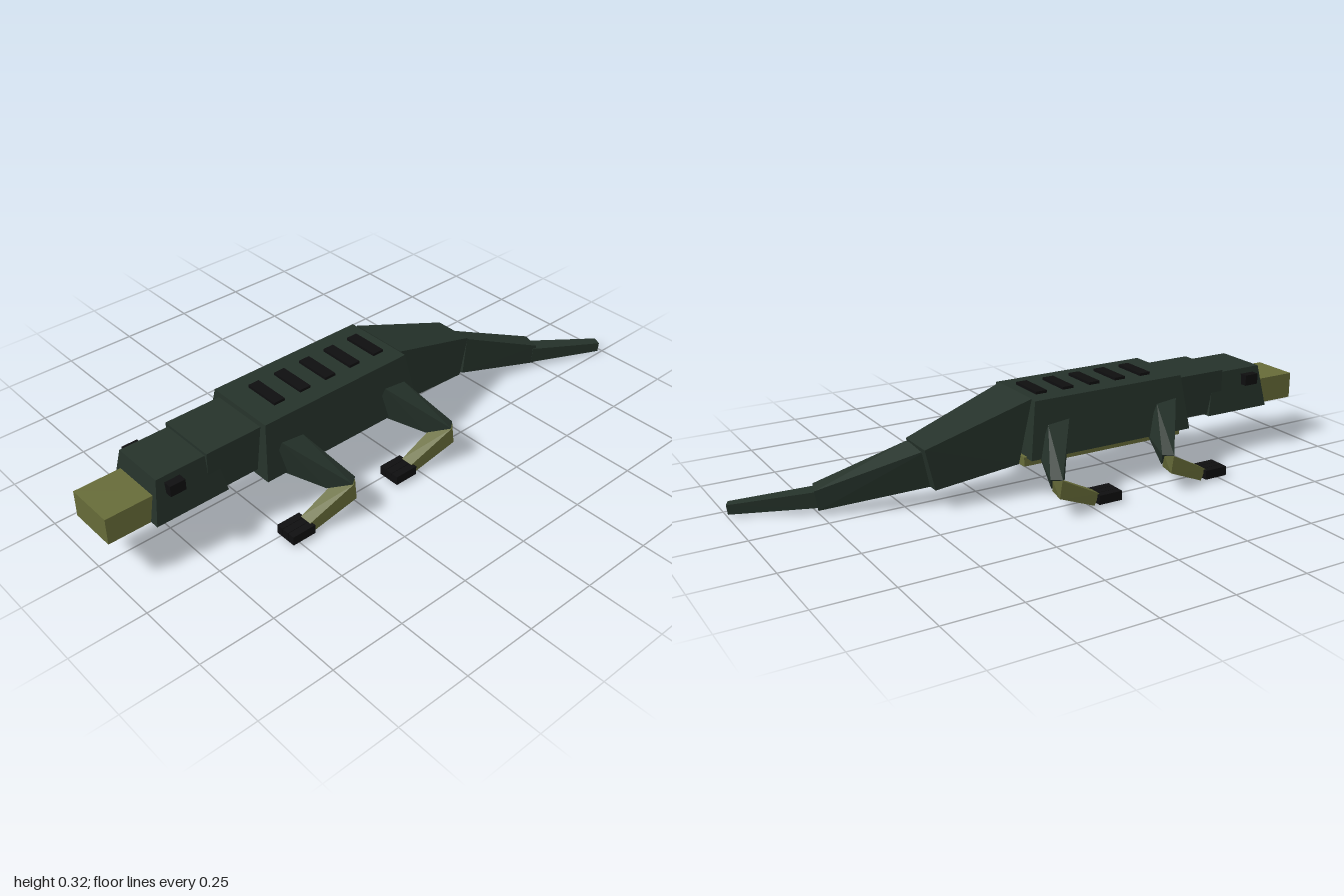
import * as THREE from 'three';
import { ConvexGeometry } from 'three/addons/geometries/ConvexGeometry.js';

const mat = (name, color) => new THREE.MeshStandardMaterial({ name, color });

export function createModel() {
  const model = new THREE.Group();
  model.name = 'crocodile';
  const green = mat('darkGreen', 0x25322a);
  const olive = mat('olive', 0x666b38);
  const black = mat('black', 0x0e0e0f);

  // Faceted block spanning eight corners, [x, y, z] each
  const block = (name, material, corners, parent = model, side = 1) => {
    const pts = corners.map(([x, y, z]) => new THREE.Vector3(x * side, y, z));
    const mesh = new THREE.Mesh(new ConvexGeometry(pts), material);
    mesh.name = name;
    parent.add(mesh);
    return mesh;
  };
  // Box given by its limits
  const box = (name, material, x0, x1, y0, y1, z0, z1, parent = model) => {
    const mesh = new THREE.Mesh(new THREE.BoxGeometry(x1 - x0, y1 - y0, z1 - z0), material);
    mesh.position.set((x0 + x1) / 2, (y0 + y1) / 2, (z0 + z1) / 2);
    mesh.name = name;
    parent.add(mesh);
    return mesh;
  };
  // Horizontal rectangle used as the top or bottom of a tapered block
  const rect = (hw, y, z0, z1) => [[-hw, y, z0], [hw, y, z0], [hw, y, z1], [-hw, y, z1]];

  // Trunk, belly, neck and head
  block('body', green, [...rect(0.155, 0.13, -0.13, 0.49), ...rect(0.125, 0.314, -0.1, 0.467)]);
  box('belly', olive, -0.125, 0.125, 0.104, 0.135, -0.14, 0.47);
  box('neck', green, -0.103, 0.103, 0.148, 0.297, 0.44, 0.665);
  block('head', green, [...rect(0.115, 0.142, 0.605, 0.858), ...rect(0.093, 0.287, 0.635, 0.833)]);
  box('snout', olive, -0.083, 0.083, 0.141, 0.231, 0.8, 1);

  // Ridges along the back
  for (let i = 0; i < 5; i++) {
    const z = -0.04 + i * 0.101;
    box('backRidge', black, -0.064, 0.064, 0.3, 0.323, z - 0.02, z + 0.02);
  }

  // Tail: three tapering segments, bending to the left
  block('tailBase', green, [
    [-0.105, 0.317, -0.1], [0.105, 0.317, -0.1], [-0.1, 0.106, -0.145], [0.1, 0.106, -0.145],
    [-0.068, 0.2, -0.457], [0.068, 0.2, -0.457], [-0.07, 0.063, -0.425], [0.07, 0.063, -0.425],
  ]);
  block('tailMiddle', green, [
    [-0.045, 0.192, -0.43], [0.064, 0.192, -0.46], [-0.035, 0.064, -0.41], [0.07, 0.064, -0.44],
    [0.076, 0.08, -0.765], [0.143, 0.08, -0.745], [0.075, 0.014, -0.755], [0.145, 0.014, -0.735],
  ]);
  block('tailTip', green, [
    [0.086, 0.072, -0.75], [0.142, 0.072, -0.73], [0.086, 0.018, -0.745], [0.142, 0.018, -0.725],
    [0.212, 0.036, -1], [0.243, 0.036, -0.985], [0.212, 0.004, -0.996], [0.243, 0.004, -0.981],
  ]);

  // Eyes and legs on both sides
  for (const side of [1, -1]) {
    const eye = box('eye', black, 0.09, 0.124, 0.231, 0.268, 0.755, 0.808);
    eye.position.x *= side;

    for (const [name, dz] of [['frontLeg', 0], ['rearLeg', -0.42]]) {
      const leg = new THREE.Group();
      leg.name = name;
      leg.position.z = dz;
      model.add(leg);
      block('upperLeg', green, [
        [0.152, 0.247, 0.43], [0.155, 0.24, 0.35], [0.115, 0.135, 0.44], [0.115, 0.13, 0.34],
        [0.324, 0.121, 0.3], [0.3, 0.121, 0.27], [0.258, 0.092, 0.348], [0.257, 0.07, 0.3],
      ], leg, side);
      block('lowerLeg', olive, [
        [0.325, 0.12, 0.298], [0.305, 0.118, 0.275], [0.26, 0.092, 0.342],
        [0.327, 0.063, 0.288], [0.262, 0.065, 0.3],
        [0.3, 0.038, 0.45], [0.257, 0.038, 0.45], [0.299, 0, 0.433], [0.258, 0, 0.433],
      ], leg, side);
      for (let i = 0; i < 3; i++) {
        const x = side * (0.25 + i * 0.026);
        box('toe', black, x - 0.0122, x + 0.0122, 0.006, 0.037, 0.442, 0.526, leg);
      }
    }
  }
  return model;
}
